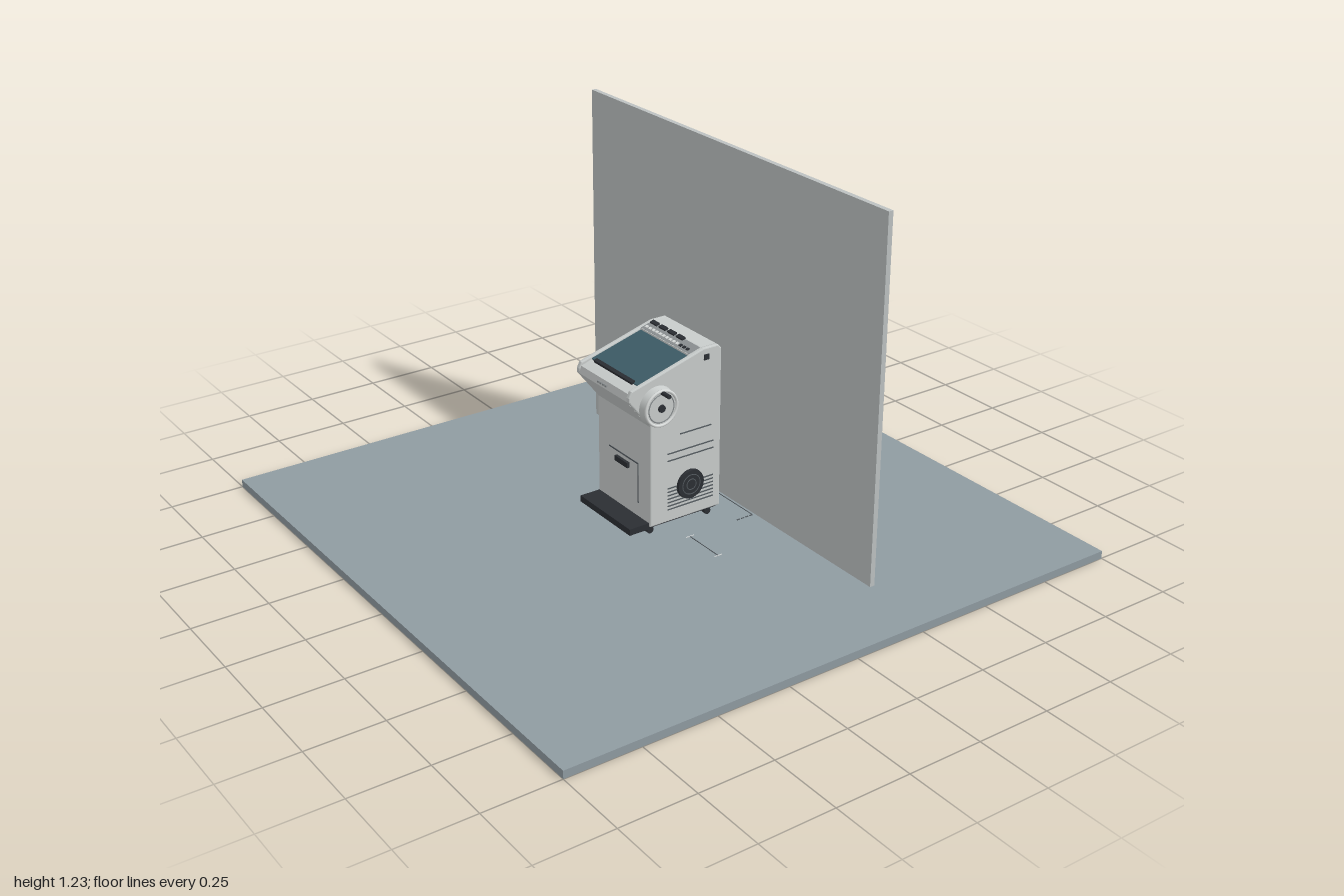
import * as THREE from 'three';

const mat = (name, color, extra = {}) => new THREE.MeshStandardMaterial({ name, color, ...extra });

export function createModel() {
  const root = new THREE.Group();
  root.name = 'consoleDisplay';
  const M = {
    floor: mat('slate floor', 0x8f9ba1),
    wall: mat('wall grey', 0xbcc1c1),
    body: mat('cabinet grey', 0xc8cccb),
    trim: mat('mid grey trim', 0x8b9092),
    dark: mat('charcoal', 0x2b2e33),
    screen: mat('teal glass', 0x3d5c67),
    line: mat('marking grey', 0x565d62),
    pale: mat('pale metal', 0xd9dcdb),
  };
  const add = (name, geo, m, x = 0, y = 0, z = 0, parent = root) => {
    const mesh = new THREE.Mesh(geo, m);
    mesh.name = name;
    mesh.position.set(x, y, z);
    parent.add(mesh);
    return mesh;
  };
  // box given by its extents on each axis
  const box = (name, m, [x0, x1], [y0, y1], [z0, z1], parent = root) =>
    add(name, new THREE.BoxGeometry(x1 - x0, y1 - y0, z1 - z0), m,
      (x0 + x1) / 2, (y0 + y1) / 2, (z0 + z1) / 2, parent);
  // cylinder lying along x
  const disc = (name, m, r0, r1, x0, x1, y, z, parent = root) => {
    const g = new THREE.CylinderGeometry(r1, r0, x1 - x0, 40).rotateZ(-Math.PI / 2);
    return add(name, g, m, (x0 + x1) / 2, y, z, parent);
  };
  // side profile of [z, y] points extruded from x0 to x1
  const profile = (name, m, pts, x0, x1, bevel, parent) => {
    const s = new THREE.Shape(pts.map(([z, y]) => new THREE.Vector2(z, y)));
    const g = new THREE.ExtrudeGeometry(s, {
      depth: x1 - x0 - 2 * bevel, bevelEnabled: bevel > 0, bevelSize: bevel,
      bevelThickness: bevel, bevelOffset: -bevel, bevelSegments: 2,
    });
    g.rotateY(-Math.PI / 2);
    return add(name, g, m, x1 - bevel, 0, 0, parent);
  };

  // Floor slab and backdrop
  box('floorSlab', M.floor, [-1, 1], [0, 0.026], [-1, 1]);
  box('backWall', M.wall, [-0.75, 0.75], [0.026, 1.228], [-0.278, -0.261]);

  // Cabinet: a lower core between two full-height cheeks
  const cabinet = new THREE.Group();
  cabinet.name = 'cabinet';
  root.add(cabinet);
  const L = -0.18, R = 0.113, MID = (L + R) / 2;
  const slope = z => 0.55 + (0.174 - z) * 0.277;
  const lower = [[-0.168, 0.06], [0.104, 0.06], [0.104, 0.412], [0.184, 0.515]];
  profile('cabinetCore', M.body, [...lower, [0.176, 0.538], [0.15, slope(0.15) - 0.01],
    [-0.052, slope(-0.052) - 0.01], [-0.052, slope(-0.052)], [-0.1, 0.627],
    [-0.155, 0.627], [-0.168, 0.614]], L + 0.014, R - 0.014, 0, cabinet);
  const cheek = [...lower, [0.184, 0.53], [0.174, 0.55], [-0.1, 0.627], [-0.155, 0.627], [-0.168, 0.614]];
  profile('rightCheek', M.body, cheek, L, L + 0.016, 0.004, cabinet);
  profile('leftCheek', M.body, cheek, R - 0.016, R, 0.004, cabinet);

  // Sloping top: local y = 0 lies on the slope, local z runs toward the front
  const sloped = (name, m, x0, x1, z0, z1, y0, y1) => {
    const g = new THREE.Group();
    const zc = (z0 + z1) / 2;
    g.name = name + 'Mount';
    g.position.set(0, slope(zc), zc);
    g.rotation.x = Math.atan(0.277);
    cabinet.add(g);
    const h = (z1 - z0) * 0.519;
    return box(name, m, [x0, x1], [y0, y1], [-h, h], g);
  };
  sloped('screenGlass', M.screen, -0.163, 0.094, -0.05, 0.138, -0.012, -0.005);
  sloped('screenLedge', M.dark, -0.14, 0.07, 0.132, 0.145, -0.008, 0.001);
  sloped('controlStrip', M.trim, L + 0.016, R - 0.016, -0.097, -0.054, -0.002, 0.001);
  for (let i = 0; i < 4; i++) {
    const x = -0.158 + i * 0.047;
    sloped('controlButton', M.dark, x, x + 0.034, -0.1, -0.086, 0, 0.007);
  }
  for (let i = 0; i < 13; i++) {
    const x = -0.155 + i * 0.0185;
    sloped('smallKey', i > 9 ? M.dark : M.pale, x, x + 0.011, -0.072, -0.062, 0, 0.004);
  }

  // Front door outline, latch and nameplate
  box('doorTopSeam', M.line, [-0.117, 0.048], [0.256, 0.261], [0.1, 0.1055], cabinet);
  box('doorSideSeam', M.line, [0.044, 0.048], [0.12, 0.261], [0.1, 0.1055], cabinet);
  box('doorLatch', M.dark, [-0.073, -0.002], [0.225, 0.243], [0.1, 0.114], cabinet);
  for (let i = 0; i < 4; i++)
    box('lipMark', M.trim, [-0.06 + i * 0.014, -0.052 + i * 0.014], [0.523, 0.529], [0.178, 0.186], cabinet);

  // Side grooves, on both sides
  const grooves = [[0.358, -0.01, -0.13], [0.3, 0.038, -0.14], [0.275, 0.038, -0.14]];
  for (let i = 0; i < 7; i++) grooves.push([0.178 - i * 0.0125, 0.038, -0.14]);
  for (const x of [L, R])
    for (const [y, z0, z1] of grooves)
      box('sideGroove', M.line, [x - 0.002, x + 0.002], [y - 0.002, y + 0.002], [z1, z0], cabinet);
  box('sideSocket', M.dark, [R - 0.002, R + 0.004], [0.588, 0.606], [-0.119, -0.099], cabinet);

  // Round fan grille
  disc('fanGrille', M.dark, 0.051, 0.049, R - 0.002, R + 0.01, 0.173, -0.048, cabinet);
  for (const r of [0.018, 0.034])
    add('fanRing', new THREE.TorusGeometry(r, 0.0015, 6, 32).rotateY(Math.PI / 2), M.line,
      R + 0.01, 0.173, -0.048, cabinet);

  // Hand wheel with crank grip
  const wheel = new THREE.Group();
  wheel.name = 'handWheel';
  wheel.position.set(R, 0.48, 0.08);
  cabinet.add(wheel);
  disc('wheelDisc', M.body, 0.066, 0.06, 0, 0.026, 0, 0, wheel);
  add('wheelRim', new THREE.TorusGeometry(0.058, 0.005, 8, 40).rotateY(Math.PI / 2), M.pale, 0.026, 0, 0, wheel);
  add('wheelGroove', new THREE.TorusGeometry(0.047, 0.002, 6, 40).rotateY(Math.PI / 2), M.trim, 0.026, 0, 0, wheel);
  disc('wheelHub', M.dark, 0.013, 0.012, 0.026, 0.032, 0, 0, wheel);
  disc('crankGrip', M.dark, 0.007, 0.007, 0.026, 0.064, 0.052, -0.003, wheel);

  // Back vents and cable knob
  for (let i = 0; i < 12; i++) {
    const y = 0.095 + i * 0.0145;
    box('backVent', M.dark, [-0.125, 0.06], [y, y + 0.006], [-0.173, -0.166], cabinet);
  }
  box('backKnob', M.dark, [MID - 0.03, MID + 0.03], [0.272, 0.3], [-0.176, -0.166], cabinet);

  // Base plinth, foot pedal and castors
  box('plinth', M.dark, [L + 0.01, R - 0.01], [0.053, 0.062], [-0.16, 0.1], cabinet);
  box('footPedal', M.dark, [-0.178, 0.105], [0.05, 0.072], [0.09, 0.178], cabinet);
  for (const x of [-0.158, 0.085])
    for (const z of [0.09, -0.135]) {
      disc('castorWheel', M.dark, 0.012, 0.012, x - 0.008, x + 0.008, 0.038, z, cabinet);
      box('castorFork', M.dark, [x - 0.005, x + 0.005], [0.036, 0.056], [z - 0.005, z + 0.005], cabinet);
    }

  // Thin clearance markings on the floor
  const mark = (x0, x1, z0, z1, m = M.line) => box('floorMark', m, [x0, x1], [0.026, 0.028], [z0, z1]);
  for (const x of [-0.262, 0.182, 0.332]) mark(x - 0.001, x + 0.001, -0.015, 0.015, M.pale);
  mark(0.182, 0.332, -0.001, 0.001);
  mark(-0.262, -0.185, -0.001, 0.001);
  mark(-0.185, 0.182, -0.252, -0.25);
  for (const x of [-0.185, 0.182])
    for (let i = 0; i < 4; i++) mark(x - 0.002, x + 0.002, -0.25 + i * 0.017, -0.239 + i * 0.017);

  return root;
}
